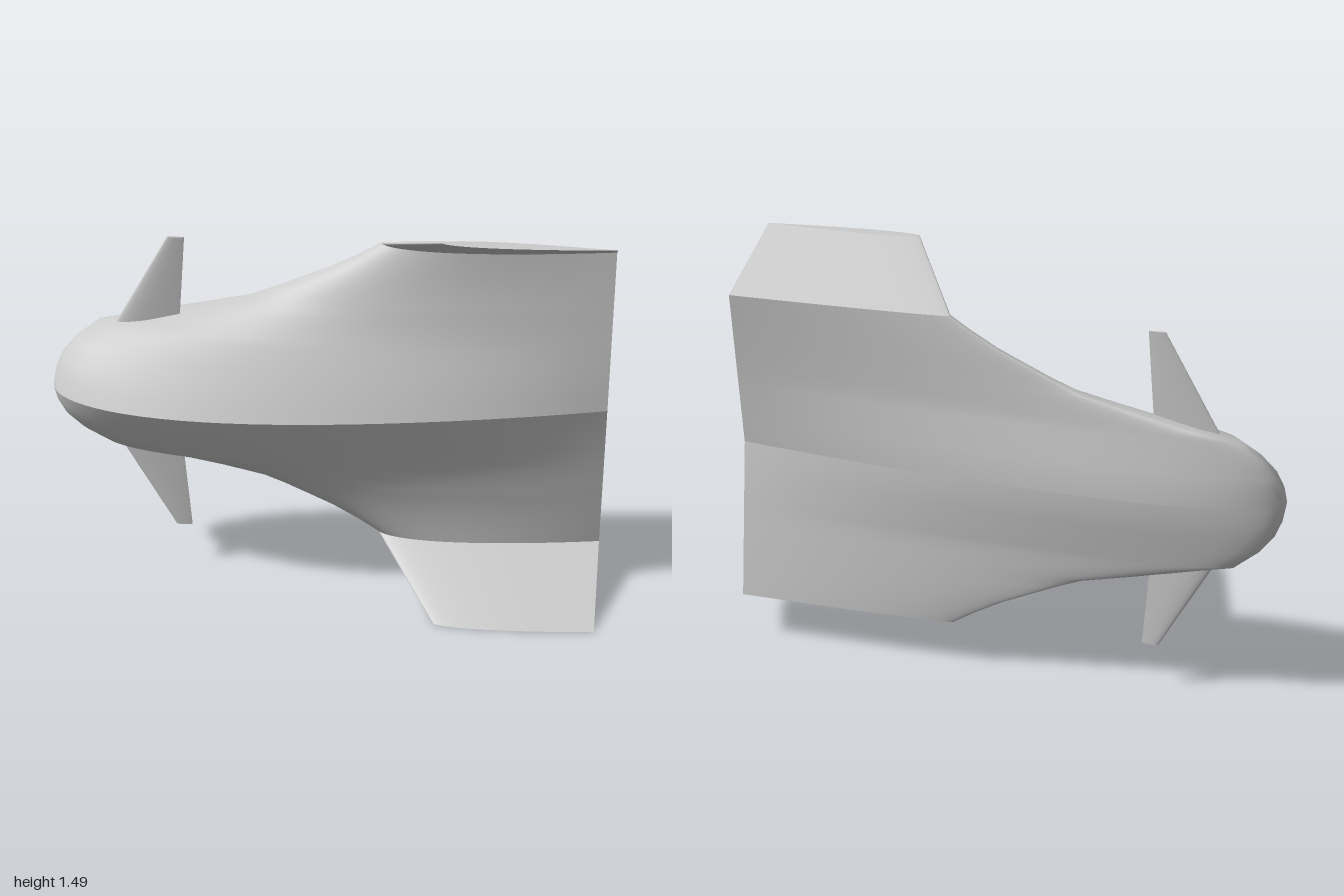
import * as THREE from 'three';

const MID = 0.745; // height of the symmetry plane
const N = 28; // chordwise steps per side
const material = new THREE.MeshStandardMaterial({ color: 0xcccccc, side: THREE.DoubleSide });

// Airfoil half-thickness along the chord, peak 1, zero at both ends
function foil(s) {
  if (s >= 1) return 0;
  return 10 * (0.2969 * Math.sqrt(s) - 0.126 * s - 0.3516 * s ** 2 + 0.2843 * s ** 3 - 0.1036 * s ** 4);
}

// Closed loop of points: trailing edge -> back face -> leading edge -> front face.
// y: distance from symmetry plane; front/back: extreme z of each face
function section({ y, x0, x1 = 1, z0, z1, front, back }) {
  const base = z0 + (z1 - z0) * 0.3;
  const points = [];
  for (let i = 0; i <= 2 * N; i++) {
    const t = Math.abs(i - N) / N;
    const s = 1 - Math.cos(t * Math.PI / 2);
    const amp = (i < N ? back : front) - base;
    points.push([x0 + (x1 - x0) * s, y, z0 + (z1 - z0) * s + amp * foil(s)]);
  }
  return points;
}

// Skin the sections; side = 1 for the upper half, -1 for its mirror image
function loft(name, sections, side, capped) {
  const rows = sections.map(section);
  const cols = 2 * N + 1;
  const positions = [];
  const index = [];
  const tri = (a, b, c) => (side > 0 ? index.push(a, b, c) : index.push(a, c, b));
  const addRow = (row) => row.forEach(([x, y, z]) => positions.push(x, MID + side * y, z));
  rows.forEach(addRow);
  for (let j = 0; j < rows.length - 1; j++) {
    for (let i = 0; i < cols - 1; i++) {
      const a = j * cols + i;
      tri(a, a + 1, a + cols);
      tri(a + 1, a + cols + 1, a + cols);
    }
  }
  if (capped) {
    const start = rows.length * cols;
    addRow(rows[rows.length - 1]);
    // strip across the flat tip, back face to front face
    for (let i = 0; i < N; i++) {
      const a = start + i;
      const b = start + cols - 1 - i;
      tri(a, a + 1, b);
      tri(a + 1, b - 1, b);
    }
  }
  const geometry = new THREE.BufferGeometry();
  geometry.setAttribute('position', new THREE.Float32BufferAttribute(positions, 3));
  geometry.setIndex(index);
  geometry.computeVertexNormals();
  const mesh = new THREE.Mesh(geometry, material);
  mesh.name = name;
  return mesh;
}

// Blended body: span, leading edge x, leading edge z, front z, back z
const bodyStations = [
  [0, -1, -0.085, 0.17, -0.223],
  [0.055, -0.992, -0.095, 0.138, -0.221],
  [0.11, -0.97, -0.107, 0.103, -0.213],
  [0.17, -0.92, -0.122, 0.063, -0.203],
  [0.23, -0.84, -0.14, 0.022, -0.193],
  [0.255, -0.7, -0.16, 0.0, -0.188],
  [0.3, -0.5, -0.167, -0.03, -0.183],
  [0.345, -0.3, -0.168, -0.047, -0.179],
  [0.385, -0.2, -0.168, -0.061, -0.177],
  [0.43, -0.1, -0.167, -0.073, -0.176],
  [0.475, 0, -0.165, -0.082, -0.175],
  [0.53, 0.1, -0.162, -0.09, -0.175],
  [0.58, 0.18, -0.16, -0.095, -0.175],
].map(([y, x0, z0, front, back]) => ({ y, x0, z0, z1: -0.1 - 0.13 * y, front, back }));

// Raked tips bent forward from the body's ends
const wingletStations = [
  bodyStations[bodyStations.length - 1],
  { y: 0.745, x0: 0.42, z0: 0.2, z1: 0.188, front: 0.224, back: 0.17 },
];

// Small thin fins beside the nose
const finStations = [
  { y: 0.2, x0: -0.79, x1: -0.54, z0: -0.108, z1: -0.108, front: -0.095, back: -0.118 },
  { y: 0.582, x0: -0.57, x1: -0.51, z0: -0.108, z1: -0.108, front: -0.101, back: -0.114 },
];

export function createModel() {
  const model = new THREE.Group();
  model.name = 'flyingWingCraft';
  for (const [side, label] of [[1, 'upper'], [-1, 'lower']]) {
    model.add(
      loft(label + 'Body', bodyStations, side, false),
      loft(label + 'Winglet', wingletStations, side, true),
      loft(label + 'NoseFin', finStations, side, true),
    );
  }
  return model;
}
